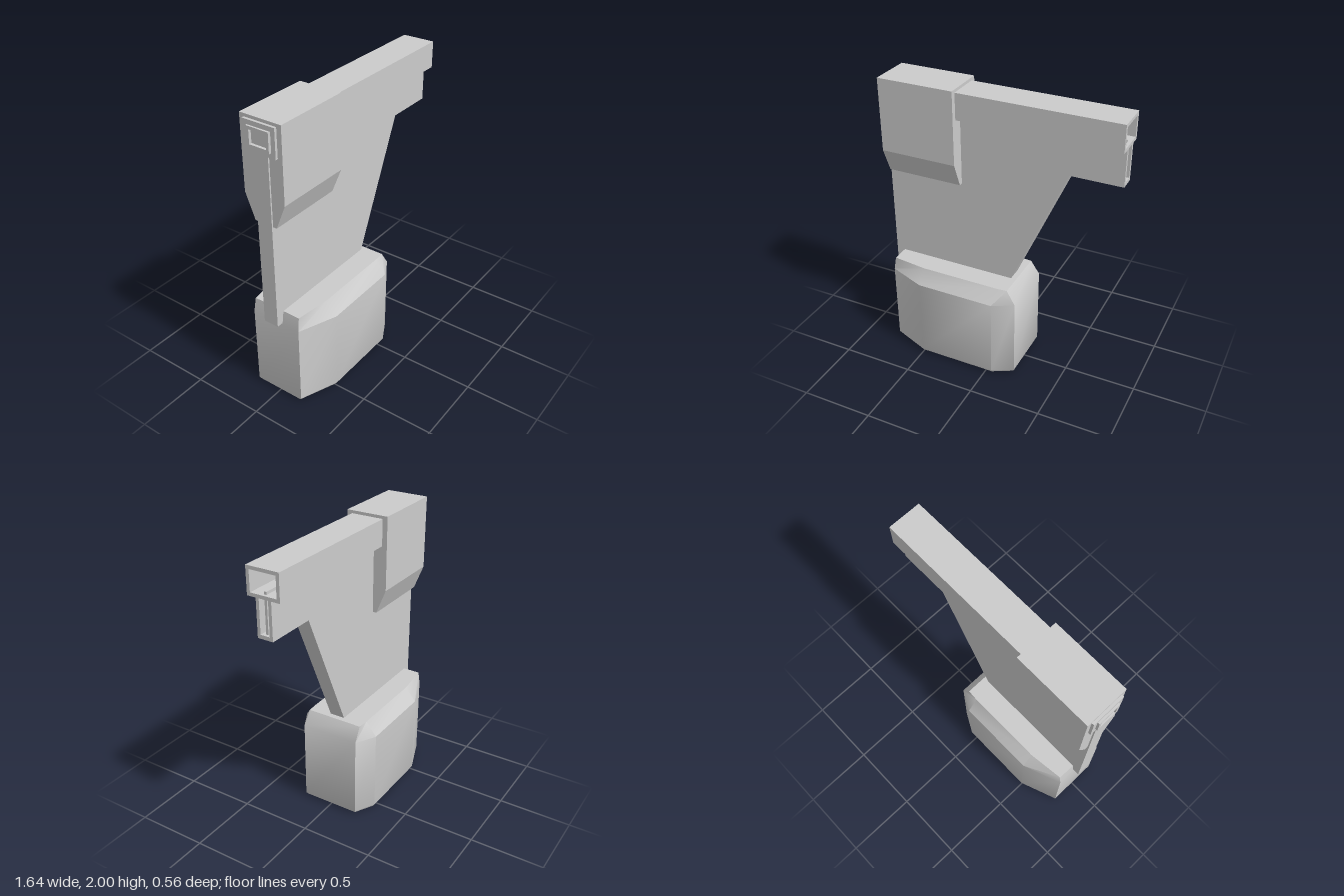
import * as THREE from 'three';
import { toCreasedNormals } from 'three/addons/utils/BufferGeometryUtils.js';

const grey = new THREE.MeshStandardMaterial({ color: 0xcccccc, side: THREE.DoubleSide });

function add(parent, name, geometry, x = 0, y = 0, z = 0) {
  const mesh = new THREE.Mesh(geometry, grey);
  mesh.name = name;
  mesh.position.set(x, y, z);
  parent.add(mesh);
  return mesh;
}

// Box given by its limits
function block(parent, name, x0, x1, y0, y1, z0, z1) {
  return add(parent, name, new THREE.BoxGeometry(x1 - x0, y1 - y0, z1 - z0),
    (x0 + x1) / 2, (y0 + y1) / 2, (z0 + z1) / 2);
}

const shapeOf = pts => new THREE.Shape(pts.map(p => new THREE.Vector2(...p)));

// Flat outline in x, y, extruded between two z values
function slab(parent, name, pts, z0, z1) {
  const g = new THREE.ExtrudeGeometry(shapeOf(pts), { depth: z1 - z0, bevelEnabled: false });
  return add(parent, name, g, 0, 0, z0);
}

// Cross-section in z, y, extruded along x
function alongX(parent, name, shape, x0, x1) {
  const g = new THREE.ExtrudeGeometry(shape, { depth: x1 - x0, bevelEnabled: false });
  g.rotateY(Math.PI / 2);
  return add(parent, name, g, x0, 0, 0);
}

// Rectangular frame cross-section
function frameShape(w, y0, y1, t) {
  const s = shapeOf([[-w, y0], [w, y0], [w, y1], [-w, y1]]);
  s.holes.push(new THREE.Path([[-w + t, y0 + t], [-w + t, y1 - t], [w - t, y1 - t], [w - t, y0 + t]]
    .map(p => new THREE.Vector2(...p))));
  return s;
}

// Stack of plan outlines; each half outline [x, z] is mirrored across z
function loft(levels) {
  const rings = levels.map(([y, half]) => [
    ...half.map(([x, z]) => [x, y, z]),
    ...half.slice().reverse().map(([x, z]) => [x, y, -z]),
  ]);
  const n = rings[0].length, index = [];
  for (let r = 0; r < rings.length - 1; r++) {
    for (let i = 0; i < n; i++) {
      const a = r * n + i, b = r * n + (i + 1) % n;
      index.push(a, b, b + n, a, b + n, a + n);
    }
  }
  const top = (rings.length - 1) * n;
  for (let i = 1; i < n - 1; i++) {
    index.push(0, i + 1, i, top, top + i, top + i + 1);
  }
  const g = new THREE.BufferGeometry();
  g.setAttribute('position', new THREE.Float32BufferAttribute(rings.flat(2), 3));
  g.setIndex(index);
  return toCreasedNormals(g, 0.62);
}

export function createModel() {
  const model = new THREE.Group();
  model.name = 'model';

  // Heavy base with a bevelled shoulder
  const body = [[-0.76, 0.18], [-0.5, 0.28], [0.05, 0.28], [0.19, 0.205]];
  const foot = [[-0.755, 0.17], [-0.5, 0.27], [0.05, 0.27], [0.18, 0.2]];
  const shoulder = [[-0.745, 0.175], [-0.5, 0.205], [0.05, 0.205], [0.13, 0.2]];
  add(model, 'base', loft([[0.01, foot], [0.025, body], [0.59, body], [0.685, shoulder]]));
  const sole = [[-0.58, 0.17], [-0.46, 0.24], [0.04, 0.24], [0.15, 0.18]];
  add(model, 'basePlate', loft([[0, sole], [0.02, sole]]));

  // Upright web: two skins around a core that stops short of the open end
  const web = new THREE.Group();
  web.name = 'web';
  model.add(web);
  const outline = [[-0.805, 0.6], [0.055, 0.6], [0.475, 1.555], [0.82, 1.555], [0.82, 1.8], [-0.805, 1.8]];
  const core = [[-0.805, 0.6], [0.055, 0.6], [0.475, 1.555], [0.82, 1.555], [0.82, 1.58],
    [0.6, 1.58], [0.6, 1.8], [-0.805, 1.8]];
  slab(web, 'webCore', core, -0.035, 0.035);
  for (const s of [-1, 1]) {
    slab(web, 'webSkin', outline, s * 0.0425 - 0.0105, s * 0.0425 + 0.0105);
  }
  block(web, 'webRib', 0.59, 0.8, 1.58, 1.84, -0.008, 0.008);

  // Hollow square arm, open at the far end
  alongX(model, 'arm', frameShape(0.113, 1.8, 1.98, 0.022), -0.79, 0.82);
  block(model, 'armStop', 0.45, 0.47, 1.815, 1.965, -0.1, 0.1);

  // Saddle cover with tapered lower flaps
  const cover = shapeOf([[-0.08, 1.33], [0.08, 1.33], [0.148, 1.5], [0.148, 2], [-0.148, 2], [-0.148, 1.5]]);
  alongX(model, 'cover', cover, -0.795, -0.265);

  // Rear end cap
  alongX(model, 'capFrame', frameShape(0.115, 1.79, 1.98, 0.03), -0.812, -0.79);
  alongX(model, 'capRim', frameShape(0.08, 1.82, 1.95, 0.02), -0.825, -0.79);
  block(model, 'capPanel', -0.806, -0.79, 1.835, 1.935, -0.065, 0.065);

  return model;
}
